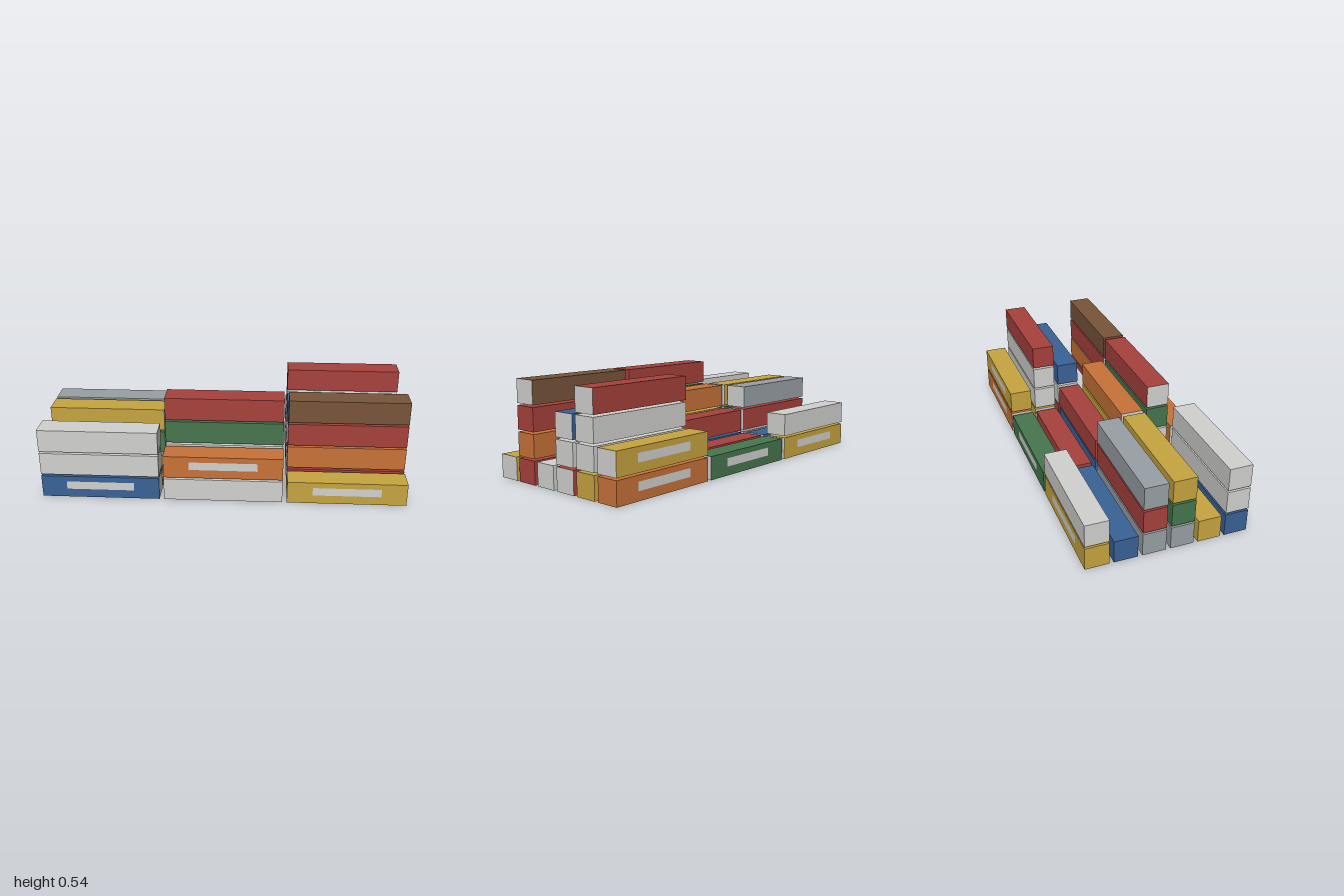
import * as THREE from 'three';

const mat = (name, color) => {
  const m = new THREE.MeshStandardMaterial({ color, side: THREE.DoubleSide });
  m.name = name;
  return m;
};

// Box shell without a floor; groups: 0 = +x end, 1 = -x end, 2 = roof and sides
function openBox(w, h, d) {
  const g = new THREE.BoxGeometry(w, h, d);
  const i = Array.from(g.index.array);
  g.setIndex([...i.slice(0, 18), ...i.slice(24)]);
  g.clearGroups();
  g.addGroup(0, 6, 0);
  g.addGroup(6, 6, 1);
  g.addGroup(12, 18, 2);
  return g;
}

export function createModel() {
  const M = {
    light: mat('lightGrey', 0xd1d1cf),
    slate: mat('slateGrey', 0x98a0a5),
    red: mat('red', 0xa7413c),
    blue: mat('blue', 0x396296),
    gold: mat('gold', 0xc6a440),
    orange: mat('orange', 0xc87238),
    green: mat('green', 0x46764e),
    brown: mat('brown', 0x78543a),
  };

  const L = 0.65, S = 0.127, TIER = 0.138;
  const columns = [-0.675, 0, 0.675];
  const rows = [0.3765, 0.2265, 0.0765, -0.075, -0.2255, -0.3765];

  // Stacks listed bottom to top; rows run front to back, columns from -x to +x.
  // A trailing '-' puts the pale door end on the -x side, otherwise it is on +x.
  const stacks = [
    ['blue light light', 'light orange-', 'gold'],
    ['gold', 'red light green red-', 'red- orange- red- brown'],
    ['slate green gold', 'slate gold- orange-', 'light'],
    ['slate red slate', 'blue red', 'red light blue'],
    ['blue', 'red', 'gold- light light red'],
    ['gold light', 'green', 'orange- gold'],
  ];

  const boxGeo = openBox(L, S, S);
  const plateGeo = new THREE.PlaneGeometry(0.372, 0.046);
  const model = new THREE.Group();
  model.name = 'containerStack';

  stacks.forEach((row, r) => row.forEach((stack, c) => {
    stack.split(' ').forEach((code, t) => {
      const doorFace = code.endsWith('-') ? 1 : 0;
      const colour = code.replace('-', '');
      const unit = new THREE.Group();
      unit.name = 'container';
      unit.position.set(columns[c], S / 2 + t * TIER, rows[r]);

      // Body with one pale door end
      const faces = Array(3).fill(M[colour]);
      faces[doorFace] = M.light;
      const body = new THREE.Mesh(boxGeo, faces);
      body.name = 'containerBody';
      unit.add(body);

      // Blank side panel on the outward side of the outer rows
      const outward = r === 0 ? 1 : r === rows.length - 1 ? -1 : 0;
      if (outward && colour !== 'light') {
        const plate = new THREE.Mesh(plateGeo, M.light);
        plate.name = 'sidePanel';
        plate.position.set(0, 0.009, outward * (S / 2 + 0.001));
        plate.rotation.y = outward > 0 ? 0 : Math.PI;
        unit.add(plate);
      }
      model.add(unit);
    });
  }));

  return model;
}
